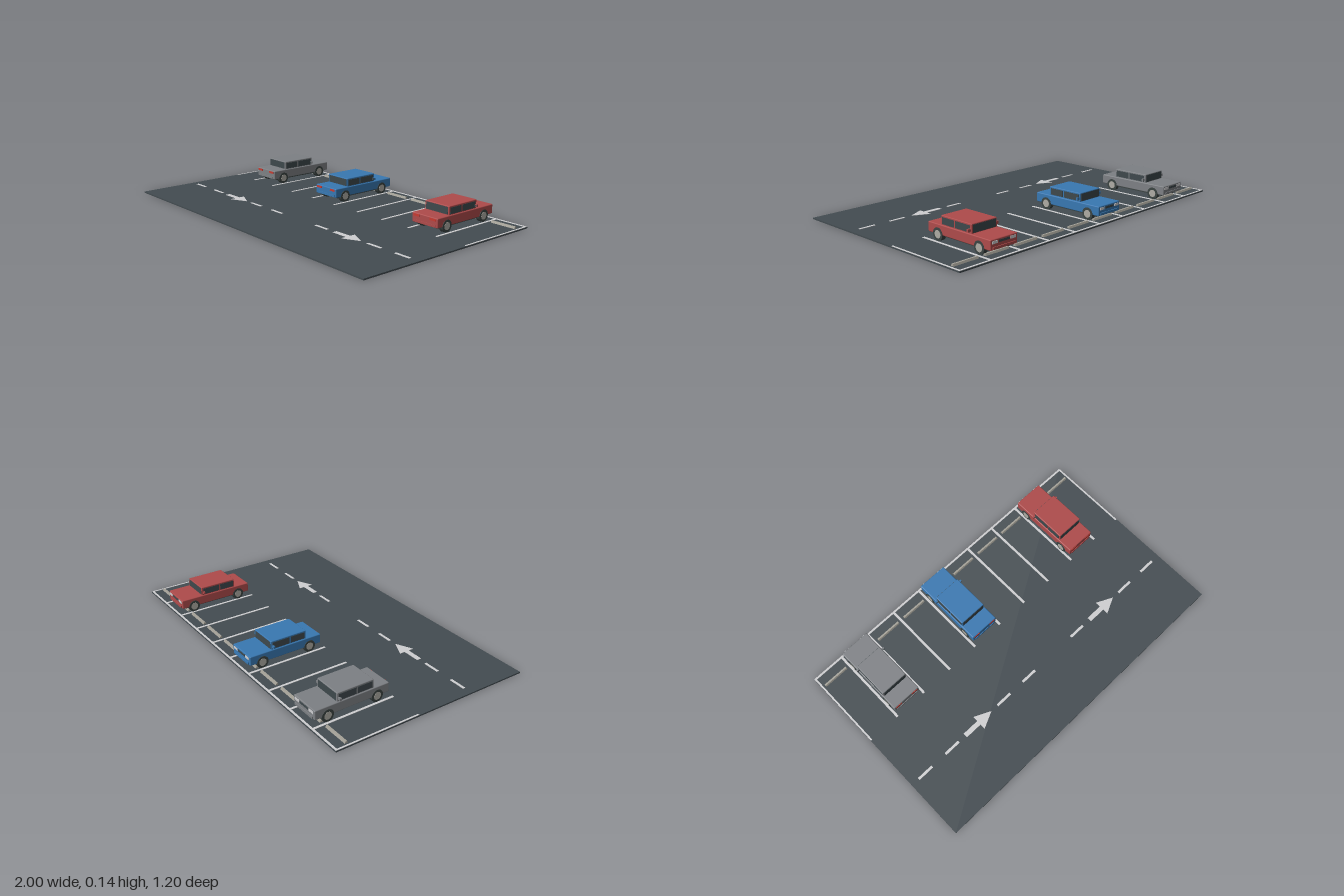
import * as THREE from 'three';
import { RoundedBoxGeometry } from 'three/addons/geometries/RoundedBoxGeometry.js';

const mat = (name, color) => new THREE.MeshStandardMaterial({ name, color });

export function createModel() {
  const asphalt = mat('asphalt', 0x434c51);
  const paint = mat('white paint', 0xcfcfd1);
  const concrete = mat('concrete', 0xa5a298);
  const glass = mat('dark glass', 0x3e484c);
  const rubber = mat('tyre rubber', 0x3b4442);
  const hubMetal = mat('hub metal', 0xaeaca4);
  const tailRed = mat('tail light red', 0xc83a30);

  const add = (parent, name, geometry, material, x = 0, y = 0, z = 0) => {
    const mesh = new THREE.Mesh(geometry, material);
    mesh.name = name;
    mesh.position.set(x, y, z);
    parent.add(mesh);
    return mesh;
  };
  const box = (parent, name, w, h, d, material, x, y, z) =>
    add(parent, name, new THREE.BoxGeometry(w, h, d), material, x, y, z);

  const model = new THREE.Group();
  model.name = 'parkingLot';
  const top = 0.008;

  // Paved slab
  box(model, 'pavement', 2, top, 1.2, asphalt, 0, top / 2, 0);

  // Bay lines, and the line closing the bays at the back
  const marks = new THREE.Group();
  marks.name = 'roadMarkings';
  model.add(marks);
  for (let i = 0; i <= 10; i++) {
    const x = THREE.MathUtils.clamp(-1 + i * 0.2, -0.994, 0.994);
    box(marks, 'bayLine', i % 10 ? 0.014 : 0.01, 0.002, 0.49, paint, x, top + 0.001, -0.345);
  }
  box(marks, 'backLine', 1.998, 0.002, 0.012, paint, 0, top + 0.001, -0.593);

  // Lane dashes
  for (const x of [-0.9, -0.7, -0.3, -0.1, 0.295, 0.7, 0.895])
    box(marks, 'laneDash', 0.1, 0.002, 0.015, paint, x, top + 0.001, 0.245);

  // Direction arrows
  const arrow = new THREE.Shape([
    [-0.1, -0.014], [0.005, -0.014], [0.005, -0.047], [0.103, 0],
    [0.005, 0.047], [0.005, 0.014], [-0.1, 0.014],
  ].map(([x, y]) => new THREE.Vector2(x, y)));
  const arrowGeo = new THREE.ExtrudeGeometry(arrow, { depth: 0.002, bevelEnabled: false });
  arrowGeo.rotateX(-Math.PI / 2);
  for (const x of [-0.5, 0.5]) add(marks, 'directionArrow', arrowGeo, paint, x, top, 0.245);

  // Wheel stops with sloping sides
  const stopShape = new THREE.Shape([
    [-0.009, 0], [0.009, 0], [0.005, 0.011], [-0.005, 0.011],
  ].map(([x, y]) => new THREE.Vector2(x, y)));
  const stopGeo = new THREE.ExtrudeGeometry(stopShape, { depth: 0.156, bevelEnabled: false });
  stopGeo.translate(0, 0, -0.078).rotateY(Math.PI / 2);
  for (let i = 0; i < 10; i++) add(model, 'wheelStop', stopGeo, concrete, -0.9 + i * 0.2, top, -0.525);

  // One car, nose towards -z
  const makeCar = (name, bodyPaint) => {
    const car = new THREE.Group();
    car.name = name;
    add(car, 'body', new RoundedBoxGeometry(0.18, 0.054, 0.45, 2, 0.005), bodyPaint, 0, 0.069, -0.348);
    box(car, 'underside', 0.15, 0.01, 0.4, rubber, 0, 0.039, -0.348);
    add(car, 'cabin', new RoundedBoxGeometry(0.168, 0.056, 0.222, 2, 0.004), bodyPaint, 0, 0.117, -0.328);

    // Windscreen and rear window
    for (const [part, z] of [['rearWindow', -0.217], ['windscreen', -0.439]])
      box(car, part, 0.152, 0.041, 0.003, glass, 0, 0.119, z);

    for (const s of [-1, 1]) {
      // Side windows, door mirrors
      box(car, 'rearSideWindow', 0.003, 0.036, 0.088, glass, s * 0.084, 0.118, -0.27);
      box(car, 'frontSideWindow', 0.003, 0.036, 0.106, glass, s * 0.084, 0.118, -0.376);
      box(car, 'mirror', 0.018, 0.014, 0.01, bodyPaint, s * 0.092, 0.113, -0.428);
      box(car, 'mirrorGlass', 0.013, 0.01, 0.002, glass, s * 0.092, 0.113, -0.4225);
      // Tail lights and headlights
      box(car, 'tailLight', 0.042, 0.012, 0.004, tailRed, s * 0.058, 0.085, -0.1225);
      box(car, 'headlight', 0.036, 0.014, 0.004, paint, s * 0.06, 0.081, -0.5735);
      // Wheels
      for (const z of [-0.197, -0.497]) {
        const tyre = add(car, 'tyre', new THREE.CylinderGeometry(0.035, 0.035, 0.026, 24), rubber, s * 0.079, 0.043, z);
        tyre.rotation.z = Math.PI / 2;
        const hub = add(car, 'hub', new THREE.CylinderGeometry(0.022, 0.022, 0.028, 16), hubMetal, s * 0.079, 0.043, z);
        hub.rotation.z = Math.PI / 2;
      }
    }
    // Bumpers and grille
    box(car, 'frontBumper', 0.15, 0.013, 0.008, bodyPaint, 0, 0.052, -0.574);
    box(car, 'rearBumper', 0.15, 0.013, 0.006, bodyPaint, 0, 0.052, -0.1225);
    box(car, 'grille', 0.07, 0.012, 0.003, glass, 0, 0.081, -0.5735);
    model.add(car);
    return car;
  };

  makeCar('greyCar', mat('grey car paint', 0x7d8084)).position.x = -0.7;
  makeCar('blueCar', mat('blue car paint', 0x3878b2)).position.x = -0.1;
  makeCar('redCar', mat('red car paint', 0xae4b4b)).position.x = 0.695;

  return model;
}
